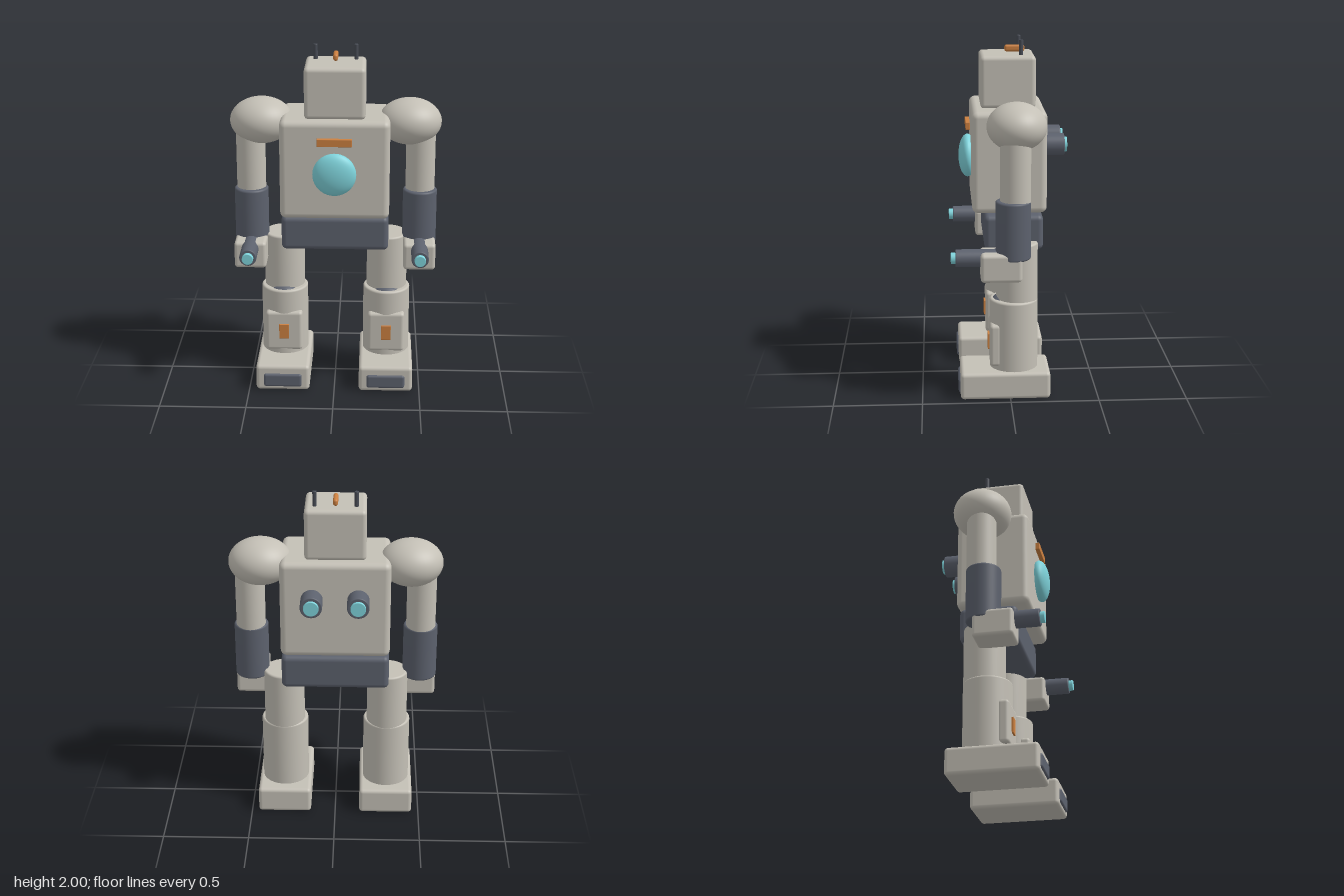
import * as THREE from 'three';
import { RoundedBoxGeometry } from 'three/addons/geometries/RoundedBoxGeometry.js';

function paint(name, color) {
  const m = new THREE.MeshStandardMaterial({ color });
  m.name = name;
  return m;
}

export function createModel() {
  const shell = paint('warm grey shell', 0xc4c0b6);
  const slate = paint('dark slate', 0x5c616d);
  const cyan = paint('cyan glass', 0x7fd4dc);
  const orange = paint('orange trim', 0xcc8040);
  const iron = paint('dark iron', 0x484c55);

  const robot = new THREE.Group();
  robot.name = 'robot';

  function add(parent, name, geometry, material, x, y, z) {
    const mesh = new THREE.Mesh(geometry, material);
    mesh.name = name;
    mesh.position.set(x, y, z);
    parent.add(mesh);
    return mesh;
  }

  // Rounded box given by its extents
  function box(parent, name, material, [x0, x1], [y0, y1], [z0, z1], r) {
    const g = new RoundedBoxGeometry(x1 - x0, y1 - y0, z1 - z0, 4, r);
    return add(parent, name, g, material, (x0 + x1) / 2, (y0 + y1) / 2, (z0 + z1) / 2);
  }

  // Ellipsoid with three radii
  function ellipsoid(parent, name, material, x, y, z, rx, ry, rz) {
    const g = new THREE.SphereGeometry(1, 40, 28).scale(rx, ry, rz);
    return add(parent, name, g, material, x, y, z);
  }

  // Solid cylinder with softened rims, standing from 0 to h
  function softCylinder(r, h, b) {
    const pts = [[0, 0], [r - b, 0]];
    for (let i = 0; i <= 4; i++) {
      const a = (i / 4) * Math.PI / 2;
      pts.push([r - b + b * Math.sin(a), b - b * Math.cos(a)]);
    }
    for (let i = 0; i <= 4; i++) {
      const a = (i / 4) * Math.PI / 2;
      pts.push([r - b + b * Math.cos(a), h - b + b * Math.sin(a)]);
    }
    pts.push([0, h]);
    return new THREE.LatheGeometry(pts.map(p => new THREE.Vector2(...p)), 40);
  }

  function column(parent, name, material, x, z, r, y0, y1, b = 0.012) {
    return add(parent, name, softCylinder(r, y1 - y0, b), material, x, y0, z);
  }

  // Cylinder lying along z from z0 to z1
  function tube(parent, name, material, x, y, r, z0, z1, b = 0.006) {
    const g = softCylinder(r, Math.abs(z1 - z0), b).rotateX(z1 > z0 ? Math.PI / 2 : -Math.PI / 2);
    return add(parent, name, g, material, x, y, z0);
  }

  // Head with crest
  box(robot, 'head', shell, [-0.172, 0.172], [1.62, 1.915], [-0.157, 0.154], 0.025);
  box(robot, 'headCrest', orange, [-0.014, 0.014], [1.921, 1.96], [-0.102, 0.012], 0.0135);

  // Torso, chest lens and pelvis
  box(robot, 'torso', shell, [-0.31, 0.31], [1.05, 1.625], [-0.212, 0.207], 0.035);
  ellipsoid(robot, 'chestLens', cyan, 0, 1.325, 0.225, 0.123, 0.123, 0.052);
  box(robot, 'chestBar', orange, [-0.098, 0.098], [1.49, 1.533], [0.212, 0.237], 0.003);
  box(robot, 'pelvis', slate, [-0.308, 0.308], [0.835, 1.038], [-0.192, 0.14], 0.03);

  for (const s of [-1, 1]) {
    const side = s > 0 ? 'left' : 'right';

    // Antenna and back thruster
    column(robot, side + 'Antenna', iron, s * 0.115, -0.076, 0.012, 1.9, 2, 0.002);
    tube(robot, side + 'Thruster', slate, s * 0.13, 1.41, 0.062, -0.19, -0.32);
    tube(robot, side + 'ThrusterGlow', cyan, s * 0.13, 1.41, 0.043, -0.3, -0.335, 0.003);

    // Arm with forearm blaster
    const arm = new THREE.Group();
    arm.name = side + 'Arm';
    robot.add(arm);
    const ax = s * 0.488;
    ellipsoid(arm, 'shoulder', shell, s * 0.424, 1.568, -0.034, 0.18, 0.133, 0.165);
    column(arm, 'upperArm', shell, ax, -0.024, 0.084, 1.14, 1.56);
    column(arm, 'forearm', slate, ax, -0.011, 0.098, 0.845, 1.172);
    const hx = [ax - 0.092, ax + 0.092];
    box(arm, 'hand', shell, hx, [0.73, 0.888], [-0.057, 0.17], 0.02);
    tube(arm, 'blaster', slate, ax, 0.85, 0.049, 0.05, 0.307);
    tube(arm, 'blasterTip', cyan, ax, 0.85, 0.032, 0.29, 0.332, 0.003);

    // Leg
    const leg = new THREE.Group();
    leg.name = side + 'Leg';
    robot.add(leg);
    const lx = s * 0.302;
    const span = w => [lx - w, lx + w];
    column(leg, 'thigh', shell, lx, -0.043, 0.118, 0.5, 0.89);
    ellipsoid(leg, 'knee', slate, lx, 0.53, 0.045, 0.085, 0.052, 0.06);
    column(leg, 'shin', shell, lx, -0.025, 0.137, 0.13, 0.562);
    box(leg, 'shinGuard', shell, span(0.108), [0.18, 0.427], [0.05, 0.114], 0.02);
    box(leg, 'shinMarker', orange, span(0.029), [0.26, 0.35], [0.105, 0.124], 0.002);

    // Foot
    box(leg, 'foot', shell, span(0.157), [0, 0.157], [-0.227, 0.283], 0.022);
    box(leg, 'toePlate', slate, span(0.112), [0.025, 0.108], [0.25, 0.294], 0.015);
  }

  return robot;
}
